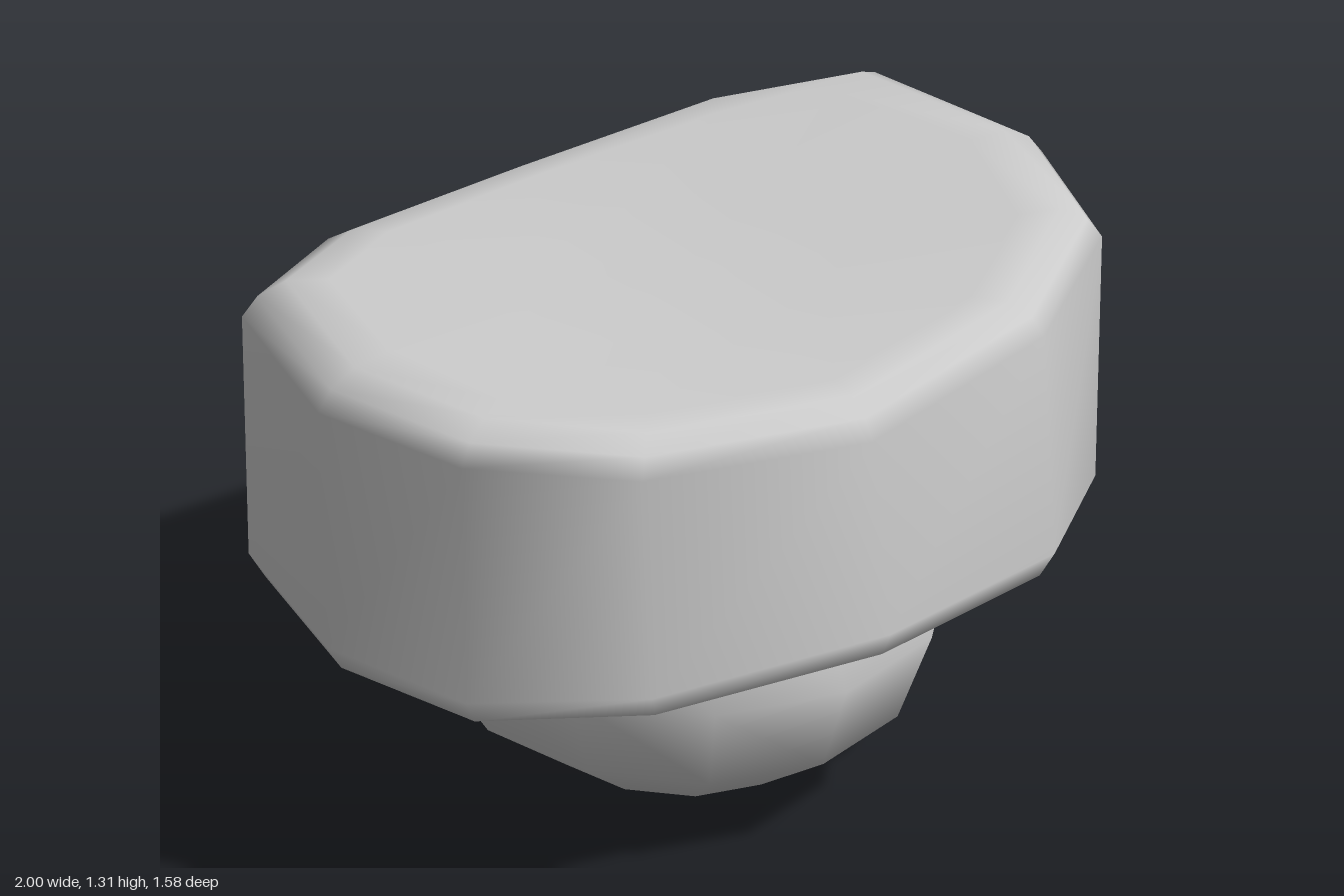
import * as THREE from 'three';

// Half outlines [x, z] running front -> left -> back
const LOWER = [[0, 0.785], [0.555, 0.645], [0.87, 0.365], [0.975, -0.02], [0.87, -0.465], [0.555, -0.73], [0, -0.79]];
const UPPER = [[0, 0.715], [0.555, 0.605], [0.885, 0.37], [1, -0.02], [0.885, -0.47], [0.555, -0.645], [0, -0.695]];

// Mirror a half outline into a closed loop of 12 points
const mirror = (half) => [...half, ...half.slice(1, -1).reverse().map(([x, z]) => [-x, z])];

// The underside arches and the top dips towards the middle
const bottomY = (x) => 0.58 - 0.08 * Math.min(1, (x / 0.75) ** 2);
const topY = (x) => 1.24 + 0.07 * Math.min(1, (x / 0.8) ** 2);

// Rings from bottom to top: [outline, surface, inset scale, height offset]
const RINGS = [
  [LOWER, bottomY, 0.45, 0],
  [LOWER, bottomY, 0.88, 0],
  [LOWER, bottomY, 0.96, 0.035],
  [LOWER, bottomY, 1, 0.1],
  [UPPER, topY, 1, -0.095],
  [UPPER, topY, 0.965, -0.045],
  [UPPER, topY, 0.9, -0.01],
  [UPPER, topY, 0.8, 0],
  [UPPER, topY, 0.4, 0],
];

function bodyGeometry() {
  const positions = [];
  const index = [];
  const n = 12;
  for (const [half, surface, scale, dy] of RINGS) {
    for (const [x, z] of mirror(half)) {
      positions.push(x * scale, surface(x * scale) + dy, (z + 0.02) * scale - 0.02);
    }
  }
  const bottomPole = positions.length / 3;
  positions.push(0, bottomY(0), -0.02, 0, topY(0), -0.02);
  const last = (RINGS.length - 1) * n;
  for (let j = 0; j < n; j++) {
    const k = (j + 1) % n;
    for (let r = 0; r < last; r += n) {
      index.push(r + j, r + k, r + n + k, r + j, r + n + k, r + n + j);
    }
    index.push(bottomPole, k, j, bottomPole + 1, last + j, last + k);
  }
  const geometry = new THREE.BufferGeometry();
  geometry.setAttribute('position', new THREE.Float32BufferAttribute(positions, 3));
  geometry.setIndex(index);
  geometry.computeVertexNormals();
  return geometry;
}

export function createModel() {
  const group = new THREE.Group();
  const material = new THREE.MeshStandardMaterial({ color: 0xcccccc });

  // Wide rounded block
  const body = new THREE.Mesh(bodyGeometry(), material);
  body.name = 'body';

  // Squashed ball tucked into the underside
  const ball = new THREE.Mesh(new THREE.SphereGeometry(1, 12, 6), material);
  ball.name = 'ball';
  ball.scale.set(0.6, 0.45, 0.65);
  ball.position.set(0, 0.45, -0.035);

  group.add(body, ball);
  return group;
}
